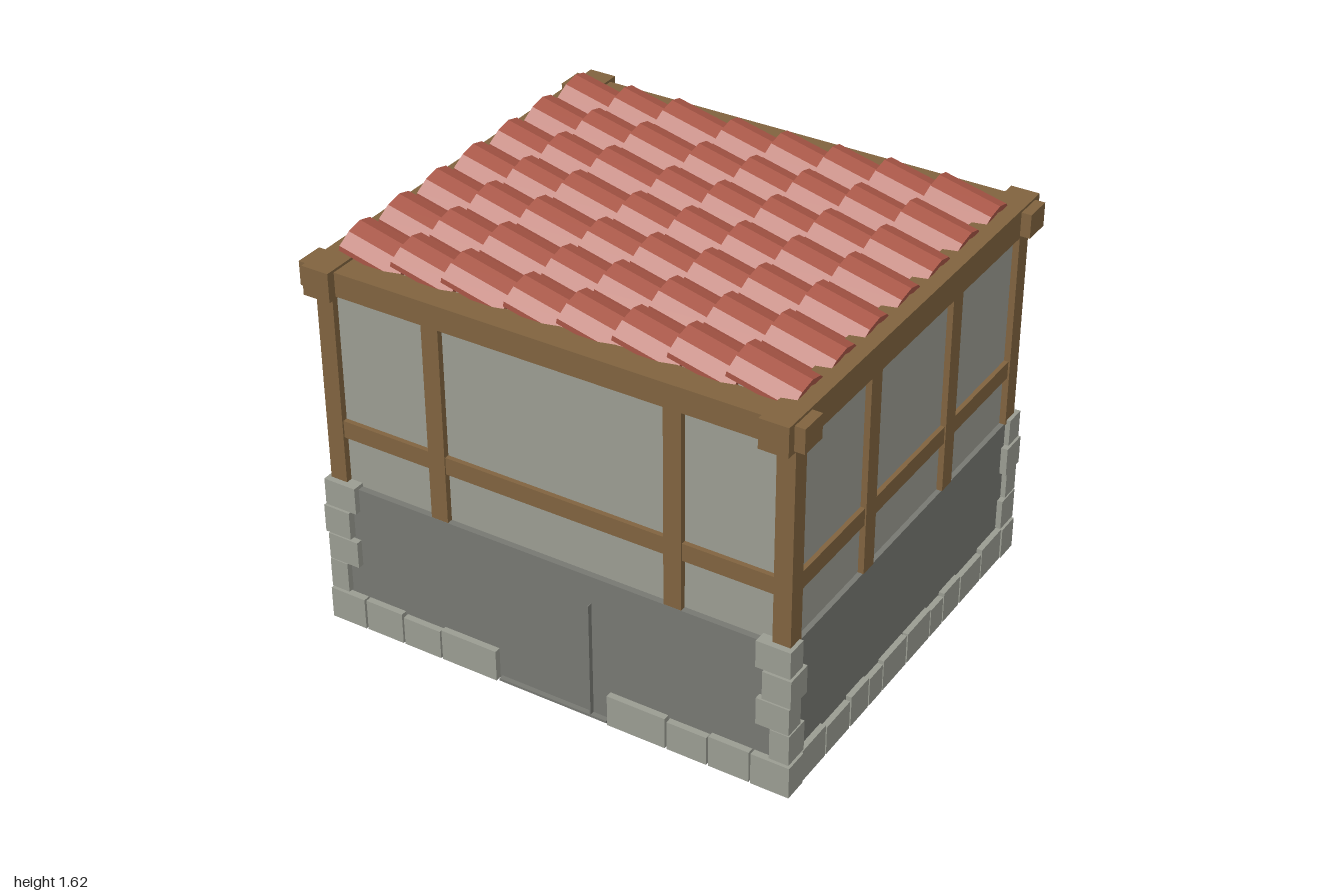
import * as THREE from 'three';

const mat = (color) => new THREE.MeshStandardMaterial({ color, flatShading: true });

export function createModel() {
  const model = new THREE.Group();
  const timber = mat(0x80633f), plaster = mat(0x9b9c92), masonry = mat(0x777872);
  const stone = mat(0x9a9c92), clay = mat(0xa95646);

  // Box given by its minimum and maximum corners
  function box(name, material, x0, x1, y0, y1, z0, z1, parent = model) {
    const mesh = new THREE.Mesh(new THREE.BoxGeometry(x1 - x0, y1 - y0, z1 - z0), material);
    mesh.position.set((x0 + x1) / 2, (y0 + y1) / 2, (z0 + z1) / 2);
    mesh.name = name;
    parent.add(mesh);
    return mesh;
  }
  function group(name) {
    const g = new THREE.Group();
    g.name = name;
    model.add(g);
    return g;
  }

  // Wall bodies
  const WX = 0.95, WZ = 0.84;
  box('lowerWall', masonry, -WX, WX, 0, 0.605, -WZ, WZ);
  box('upperWall', plaster, -0.93, 0.93, 0.605, 1.5, -0.815, 0.815);

  // Timber frame: corner posts, studs, rails and crossing top beams
  const frame = group('timberFrame');
  for (const sx of [-1, 1]) {
    for (const sz of [-1, 1]) {
      const cx = sx * 0.92, cz = sz * 0.805;
      box('cornerPost', timber, cx - 0.035, cx + 0.035, 0.605, 1.43, cz - 0.036, cz + 0.036, frame);
    }
    for (const z of [-0.293, 0.297]) {
      box('sideStud', timber, sx * 0.92 - 0.033, sx * 0.92 + 0.033, 0.605, 1.43, z - 0.036, z + 0.036, frame);
    }
    box('sideRail', timber, sx * 0.915 - 0.033, sx * 0.915 + 0.033, 0.81, 0.88, -0.8, 0.8, frame);
    box('sideBeam', timber, sx * 0.905 - 0.056, sx * 0.905 + 0.056, 1.41, 1.525, -0.9, 0.9, frame);
  }
  for (const sz of [-1, 1]) {
    for (const x of [-0.475, 0.493]) {
      box('longStud', timber, x - 0.035, x + 0.035, 0.605, 1.43, sz * 0.805 - 0.034, sz * 0.805 + 0.034, frame);
    }
    box('longRail', timber, -0.92, 0.92, 0.81, 0.88, sz * 0.8 - 0.034, sz * 0.8 + 0.034, frame);
    box('longBeam', timber, -1, 1, 1.42, 1.515, sz * 0.81 - 0.056, sz * 0.81 + 0.056, frame);
  }

  // Corner stones: bottom, top, outer x, outer z, inner x, inner z
  const corners = group('cornerStones');
  const quoins = [
    [0, 0.13, 0.977, 0.868, 0.825, 0.77],
    [0.14, 0.265, 0.972, 0.865, 0.895, 0.76],
    [0.27, 0.38, 0.97, 0.866, 0.84, 0.785],
    [0.39, 0.505, 0.977, 0.87, 0.865, 0.76],
    [0.51, 0.62, 0.97, 0.865, 0.835, 0.78],
  ];
  for (const [y0, y1, ox, oz, ix, iz] of quoins) {
    for (const sx of [-1, 1]) {
      for (const sz of [-1, 1]) {
        const mx = sx * (ox + ix) / 2, mz = sz * (oz + iz) / 2;
        const hx = (ox - ix) / 2, hz = (oz - iz) / 2;
        box('cornerStone', stone, mx - hx, mx + hx, y0, y1, mz - hz, mz + hz, corners);
      }
    }
  }

  // Footing stones: start, end, height; mirrored about the middle of each wall
  const footing = group('footingStones');
  const longRow = [[0.655, 0.817, 0.13], [0.485, 0.647, 0.12], [0.238, 0.477, 0.13], [0.004, 0.23, 0.122]];
  const sideRow = [[0.605, 0.765, 0.135], [0.43, 0.597, 0.12], [0.292, 0.42, 0.13], [0.187, 0.284, 0.12], [0.005, 0.18, 0.13]];
  for (const s of [-1, 1]) {
    for (const [a, b, h] of longRow) {
      const x0 = s > 0 ? a : -b, x1 = s > 0 ? b : -a;
      box('backFootingStone', stone, x0, x1, 0, h, -0.868, -0.8, footing);
      // the doorway leaves the middle of the front open
      if (a > 0.1) box('frontFootingStone', stone, x0, x1, 0, h, 0.8, 0.866, footing);
    }
    for (const [a, b, h] of sideRow) {
      const z0 = s > 0 ? a : -b, z1 = s > 0 ? b : -a;
      box('leftFootingStone', stone, 0.9, 0.973, 0, h, z0, z1, footing);
      box('rightFootingStone', stone, -0.973, -0.9, 0, h, z0, z1, footing);
    }
  }
  box('doorSill', masonry, -0.23, 0.23, 0, 0.01, 0.82, 0.86);
  box('doorFin', masonry, 0.16, 0.164, 0, 0.49, 0.83, 0.86);

  // Roof tiles: a hollow faceted arch swept along x
  const outer = [[-0.105, 0], [-0.105, 0.02], [-0.06, 0.06], [0, 0.078], [0.06, 0.06], [0.105, 0.02], [0.105, 0]];
  const inner = [[0.078, 0], [0.078, 0.01], [0.045, 0.037], [0, 0.05], [-0.045, 0.037], [-0.078, 0.01], [-0.078, 0]];
  const arch = new THREE.Shape([...outer, ...inner].map(([u, v]) => new THREE.Vector2(u, v)));
  const tileGeo = new THREE.ExtrudeGeometry(arch, { depth: 0.25, bevelEnabled: false });
  tileGeo.rotateY(Math.PI / 2);
  const roof = group('roofTiles');
  const starts = [-0.9, -0.68, -0.468, -0.213, 0, 0.217, 0.43, 0.65];
  const lifts = [0, 0.003, 0.005, -0.008, -0.006, -0.002, 0.003, 0.004];
  for (let row = 0; row < 7; row++) {
    starts.forEach((x, i) => {
      const tile = new THREE.Mesh(tileGeo, clay);
      tile.position.set(x, 1.54 + lifts[i], -0.006 + (row - 3) * 0.2235);
      tile.rotation.z = -0.235;
      tile.name = 'roofTile';
      roof.add(tile);
    });
  }
  return model;
}
